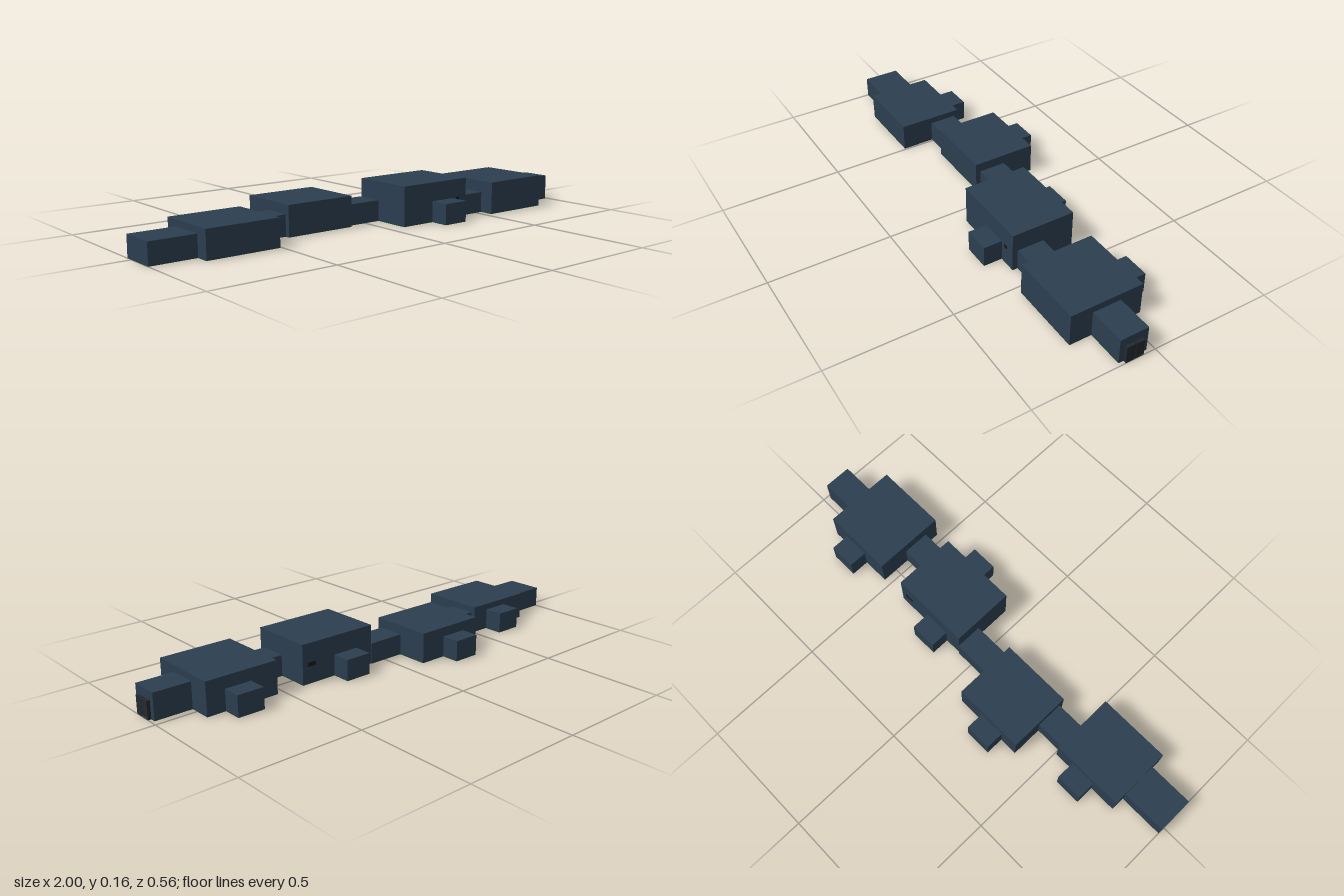
import * as THREE from 'three';

const mat = (name, color) => {
  const m = new THREE.MeshStandardMaterial({ color });
  m.name = name;
  return m;
};

// A box given by its limits along each axis
function block(name, material, [x0, x1], [y0, y1], [z0, z1]) {
  const mesh = new THREE.Mesh(new THREE.BoxGeometry(x1 - x0, y1 - y0, z1 - z0), material);
  mesh.position.set((x0 + x1) / 2, (y0 + y1) / 2, (z0 + z1) / 2);
  mesh.name = name;
  return mesh;
}

export function createModel() {
  const group = new THREE.Group();
  group.name = 'roomChain';
  const wall = mat('slateBlue', 0x2c3e50);
  const floor = mat('darkTeal', 0x22403c);
  const dark = mat('charcoal', 0x22292f);
  const seam = mat('black', 0x14181c);
  const brass = mat('olive', 0x6b6a2e);

  // Rooms, joining corridors and side alcoves: x limits, z limits, height
  const spaces = [
    ['endChamber', [-1, -0.811], [-0.03, 0.122], 0.086],
    ['westRoom', [-0.811, -0.507], [-0.088, 0.178], 0.112],
    ['westAlcove', [-0.697, -0.585], [-0.166, -0.088], 0.086],
    ['westCorridor', [-0.507, -0.388], [-0.07, 0.043], 0.086],
    ['middleRoom', [-0.388, -0.085], [-0.203, 0.063], 0.125],
    ['middleAlcove', [-0.311, -0.199], [-0.278, -0.203], 0.086],
    ['middleCorridor', [-0.085, 0.071], [-0.07, 0.043], 0.086],
    ['greatRoom', [0.071, 0.412], [-0.066, 0.2], 0.163],
    ['greatRearAlcove', [0.147, 0.259], [-0.143, -0.066], 0.086],
    ['greatFrontAlcove', [0.224, 0.336], [0.2, 0.278], 0.086],
    ['eastCorridor', [0.412, 0.53], [0.065, 0.178], 0.086],
    ['eastRoom', [0.53, 0.834], [-0.066, 0.238], 0.135],
    ['eastAlcove', [0.644, 0.756], [-0.143, -0.066], 0.086],
    ['entrance', [0.834, 0.987], [0.028, 0.146], 0.107],
  ];
  const slab = 0.004;
  for (const [name, x, z, h] of spaces) {
    const part = new THREE.Group();
    part.name = name;
    part.add(block(name + 'Floor', floor, x, [0, slab], z));
    part.add(block(name + 'Walls', wall, x, [slab, h], z));
    group.add(part);
  }

  // Double door at the entrance
  const door = new THREE.Group();
  door.name = 'entranceDoor';
  door.add(block('leftLeaf', dark, [0.985, 1], [0, 0.072], [0.0885, 0.125]));
  door.add(block('rightLeaf', dark, [0.985, 1], [0, 0.072], [0.05, 0.0865]));
  door.add(block('doorSeam', seam, [0.985, 0.998], [0, 0.072], [0.0865, 0.0885]));
  for (let i = 0; i < 4; i++) {
    const z = 0.056 + i * 0.008;
    door.add(block('doorStud', brass, [0.999, 1.0005], [0.004, 0.007], [z, z + 0.003]));
  }
  group.add(door);

  // Small slots in the front and rear walls of the great room
  group.add(block('rearSlot', seam, [0.35, 0.388], [0.07, 0.086], [-0.068, -0.065]));
  group.add(block('frontSlot', seam, [0.356, 0.372], [0.074, 0.088], [0.199, 0.202]));

  return group;
}
